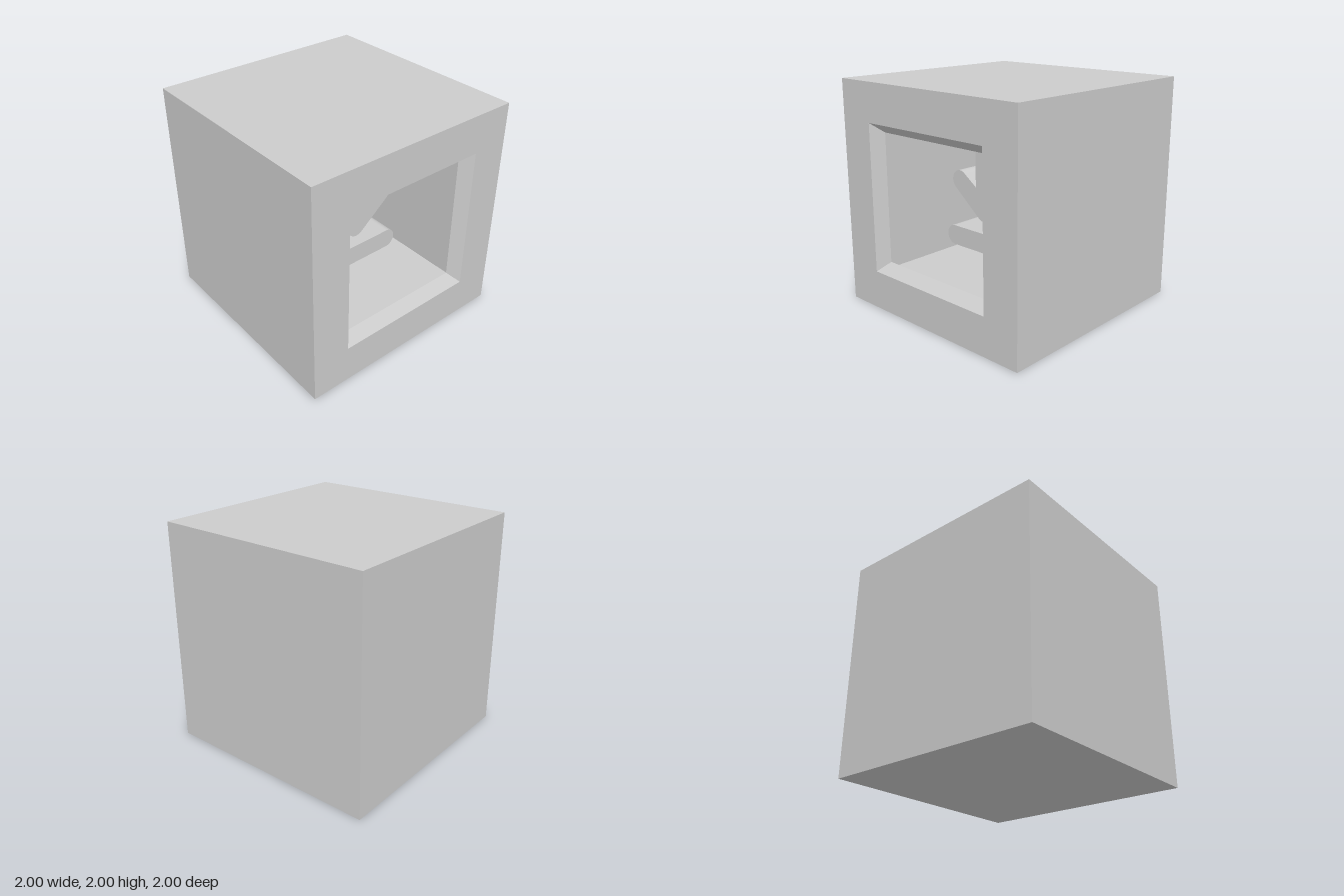
import * as THREE from 'three';

const material = new THREE.MeshStandardMaterial({ color: 0xcccccc, flatShading: true });
const BACK = -0.68;   // x of the cavity's back wall
const FRONT = 0.33;   // x of the raised symbol's face
const R = 0.09;       // radius of every rounded end
const rad = THREE.MathUtils.degToRad;

// Square "turned" body: [x, half width] pairs swept over four sides about the x axis
function squareSweep(profile) {
  const points = profile.map(([x, half]) => new THREE.Vector2(half * Math.SQRT2, x));
  const geometry = new THREE.LatheGeometry(points, 4, Math.PI / 4).rotateZ(-Math.PI / 2).toNonIndexed();
  geometry.computeVertexNormals();
  return geometry;
}

// Outline in the (z, y) plane, extruded from the back wall towards +x
function raise(shape) {
  const geometry = new THREE.ExtrudeGeometry(shape, {
    depth: FRONT - BACK, bevelEnabled: false, curveSegments: 16,
  });
  return geometry.rotateY(Math.PI / 2).translate(BACK, 0, 0);
}

function arrowShape() {
  const s = new THREE.Shape();
  s.moveTo(R, 1.076);
  s.absarc(0, 1.43, R, 0, Math.PI);                        // top of the stem
  s.lineTo(-R, 1.076);
  s.absarc(-0.285, 1.105, R, rad(53), rad(231));           // one arm
  s.absarc(0, 0.87, R, rad(231), rad(309));                // tip
  s.absarc(0.285, 1.105, R, rad(309), rad(360 + 127));     // other arm
  s.closePath();
  return s;
}

function barShape() {
  const s = new THREE.Shape();
  s.absarc(0.366, 0.58, R, -Math.PI / 2, Math.PI / 2);
  s.absarc(-0.366, 0.58, R, Math.PI / 2, Math.PI * 1.5);
  s.closePath();
  return s;
}

export function createModel() {
  const group = new THREE.Group();
  const add = (name, geometry) => {
    const mesh = new THREE.Mesh(geometry, material);
    mesh.name = name;
    group.add(mesh);
    return mesh;
  };

  // Cube with a bevelled window on +x opening into a wider cavity
  add('hollowCube', squareSweep([
    [-1, 0], [-1, 1], [1, 1],
    [1, 0.658], [0.9, 0.575],
    [0.9, 0.68], [BACK, 0.68], [BACK, 0],
  ])).position.y = 1;

  // Raised symbol inside the cavity
  add('downArrow', raise(arrowShape()));
  add('bar', raise(barShape()));

  return group;
}
